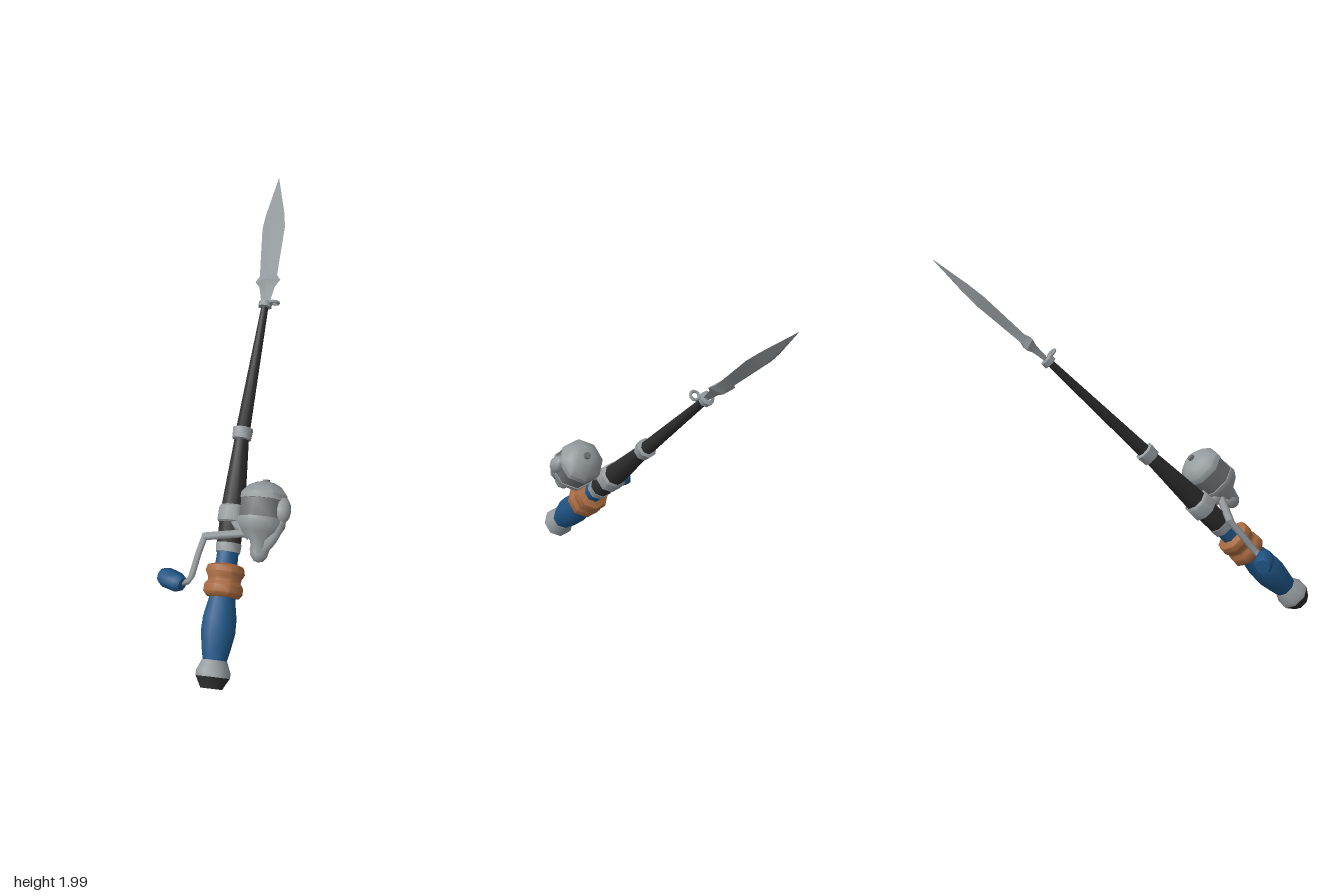
import * as THREE from 'three';
import { toCreasedNormals } from 'three/addons/utils/BufferGeometryUtils.js';

const V = (x, y, z) => new THREE.Vector3(x, y, z);

export function createModel() {
  const root = new THREE.Group();
  root.name = 'spearFishingRod';

  const mat = (name, color) => {
    const m = new THREE.MeshStandardMaterial({ color });
    m.name = name;
    return m;
  };
  const steel = mat('steel', 0x949a9d);
  const darkSteel = mat('darkSteel', 0x6c7072);
  const black = mat('black', 0x2b2b2b);
  const blue = mat('blue', 0x1f5484);
  const leather = mat('leather', 0xa5683f);

  // Adds a mesh whose local y runs along dir and whose local z faces the front
  const place = (name, geo, material, at, dir, crease = 0.9) => {
    const y = dir.clone().normalize();
    const hint = Math.abs(y.z) > 0.95 ? V(0, 1, 0) : V(0, 0, 1);
    const z = hint.addScaledVector(y, -hint.dot(y)).normalize();
    const x = y.clone().cross(z);
    const mesh = new THREE.Mesh(toCreasedNormals(geo, crease), material);
    mesh.quaternion.setFromRotationMatrix(new THREE.Matrix4().makeBasis(x, y, z));
    mesh.position.copy(at);
    mesh.name = name;
    root.add(mesh);
    return mesh;
  };
  // Turned part from [distance along axis, radius] pairs
  const lathe = (profile, sides = 8) =>
    new THREE.LatheGeometry(profile.map(([t, r]) => new THREE.Vector2(r, t)), sides);
  const tube = (name, material, points, radius) => {
    const curve = new THREE.CatmullRomCurve3(points, false, 'catmullrom', 0.2);
    const mesh = new THREE.Mesh(new THREE.TubeGeometry(curve, 8, radius, 6), material);
    mesh.name = name;
    root.add(mesh);
  };

  const base = V(-0.8, 0.09, 0.32);
  const joint = V(-0.055, 0.975, -0.03);
  const neck = V(0.4, 1.48, -0.205);
  const tip = V(0.87, 2.0, -0.44);
  const lower = joint.clone().sub(base);
  const upper = neck.clone().sub(joint);
  const bladeDir = tip.clone().sub(neck);
  const L = lower.length(), U = upper.length(), B = bladeDir.length();

  // Handle and lower rod
  const handleParts = [
    ['pommelCap', black, [[-0.06, 0], [-0.06, 0.055], [-0.005, 0.086]]],
    ['pommelRing', steel, [[-0.005, 0.088], [0.02, 0.088], [0.075, 0.064], [0.075, 0]]],
    ['grip', blue, [[0.06, 0.058], [0.13, 0.074], [0.21, 0.088], [0.28, 0.086], [0.37, 0.068], [0.5, 0.058], [0.62, 0.055], [0.62, 0]]],
    ['leatherWrap', leather, [[0.375, 0.05], [0.38, 0.085], [0.4, 0.102], [0.435, 0.1], [0.455, 0.085], [0.475, 0.088], [0.5, 0.102], [0.53, 0.094], [0.545, 0.05]]],
    ['gripCollar', steel, [[0.6, 0], [0.6, 0.063], [0.645, 0.066], [0.645, 0]]],
    ['lowerRod', black, [[0.64, 0.062], [0.8, 0.064], [L, 0.036]]],
    ['reelCollar', steel, [[0.745, 0.06], [0.755, 0.075], [0.825, 0.073], [0.84, 0.058]]],
  ];
  for (const [name, m, profile] of handleParts) place(name, lathe(profile), m, base, lower);

  // Upper rod with its rings
  place('upperRod', lathe([[0, 0.038], [U, 0.019]]), black, joint, upper);
  place('jointRing', lathe([[-0.035, 0.036], [-0.03, 0.05], [0.025, 0.054], [0.032, 0.036]]), steel, joint, upper);
  place('neckRing', lathe([[-0.018, 0.015], [-0.014, 0.036], [0.014, 0.036], [0.02, 0.015]]), steel, neck, upper);
  place('lineGuide', new THREE.TorusGeometry(0.022, 0.008, 6, 10), steel, V(0.4, 1.505, -0.148), V(0.8, -0.55, 0.1))
    .quaternion.setFromUnitVectors(V(0, 0, 1), V(0.63, 0.73, -0.27).normalize());

  // Diamond-section blade with barbs
  const blade = lathe([[0, 0.022], [0.06, 0.035], [0.1, 0.045], [0.135, 0.072], [0.165, 0.05],
    [0.3, 0.058], [0.44, 0.066], [0.52, 0.055], [B, 0]], 4);
  blade.scale(0.45, 1, 1);
  place('blade', blade, steel, neck, bladeDir, 0.5);

  // Reel, parallel to the rod
  const reel = V(-0.32, 0.77, 0.28);
  const reelParts = [
    ['reelBody', steel, [[-0.23, 0], [-0.225, 0.03], [-0.15, 0.05], [-0.11, 0.1], [-0.07, 0.123], [-0.045, 0.123], [-0.045, 0]]],
    ['spool', darkSteel, [[-0.05, 0.117], [0.05, 0.117]]],
    ['spoolCap', steel, [[0.045, 0], [0.045, 0.123], [0.075, 0.12], [0.115, 0.085], [0.135, 0.045], [0.135, 0]]],
    ['dragKnob', darkSteel, [[0.13, 0.02], [0.15, 0.018], [0.15, 0]]],
  ];
  for (const [name, m, profile] of reelParts) place(name, lathe(profile), m, reel, lower);

  const lump = (name, at, sx, sy, sz) =>
    place(name, new THREE.SphereGeometry(1, 8, 6).scale(sx, sy, sz), steel, at, lower);
  lump('bailPivot', V(-0.305, 0.8, 0.385), 0.045, 0.065, 0.042);
  lump('bailFoot', V(-0.43, 0.62, 0.335), 0.05, 0.06, 0.05);
  tube('bailArm', steel, [V(-0.44, 0.61, 0.34), V(-0.39, 0.69, 0.385), V(-0.3, 0.8, 0.395)], 0.03);
  tube('reelFoot', steel, [V(-0.34, 0.66, 0.1), V(-0.37, 0.66, 0.18), V(-0.4, 0.66, 0.27)], 0.028);

  // Crank
  tube('crankShaft', steel, [V(-0.39, 0.665, 0.25), V(-0.44, 0.635, 0.13), V(-0.48, 0.61, 0.035)], 0.022);
  tube('crankArm', steel, [V(-0.47, 0.62, 0.04), V(-0.54, 0.54, 0.045), V(-0.62, 0.44, 0.055), V(-0.66, 0.435, 0.03)], 0.018);
  place('crankKnob', lathe([[0, 0], [0, 0.036], [0.025, 0.048], [0.1, 0.05], [0.13, 0.038], [0.13, 0]]),
    blue, V(-0.665, 0.435, 0.042), V(0, 0, -1));

  return root;
}
